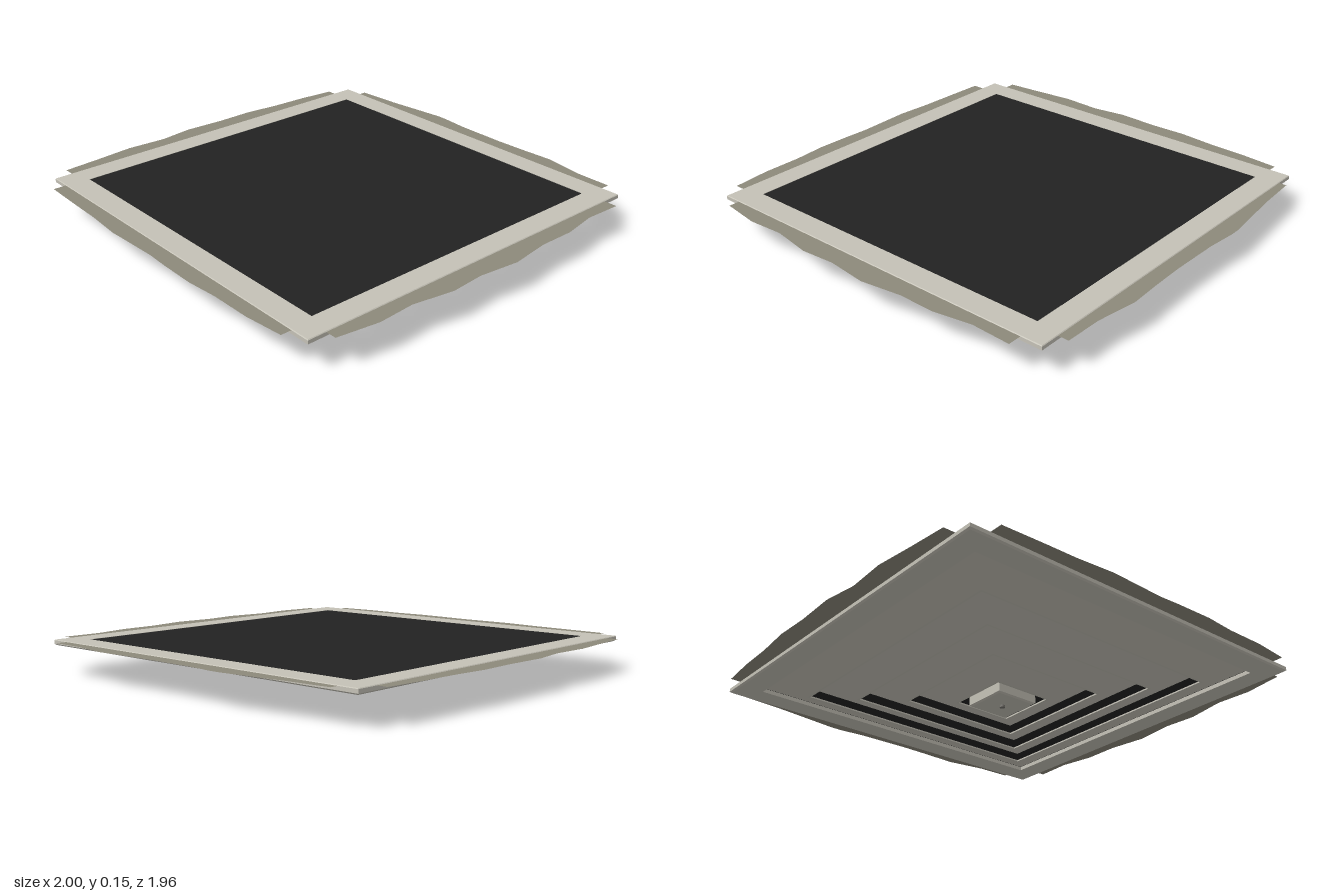
import * as THREE from 'three';

const paint = new THREE.MeshStandardMaterial({ name: 'offWhitePaint', color: 0xc4c1b6 });
const dark = new THREE.MeshStandardMaterial({ name: 'blackBacking', color: 0x222222 });
const dust = new THREE.MeshStandardMaterial({ name: 'dustStain', color: 0x8d897b, side: THREE.DoubleSide });
const steel = new THREE.MeshStandardMaterial({ name: 'screwSteel', color: 0x77756f });

// Square ring or block: a profile of [half width, height] swept round four flat sides
function squareSweep(name, profile, material) {
  const points = profile.map(([r, y]) => new THREE.Vector2(r * Math.SQRT2, y));
  const geometry = new THREE.LatheGeometry(points, 4, Math.PI / 4).toNonIndexed();
  geometry.computeVertexNormals();
  const mesh = new THREE.Mesh(geometry, material);
  mesh.name = name;
  return mesh;
}

// Flat stain with a ragged outer edge; points are [x, z]
function stain(name, edge, inner) {
  const shape = new THREE.Shape([...edge, ...inner].map(([x, z]) => new THREE.Vector2(x, -z)));
  const mesh = new THREE.Mesh(new THREE.ShapeGeometry(shape).rotateX(-Math.PI / 2), dust);
  mesh.position.y = 0.147;
  mesh.name = name;
  return mesh;
}

export function createModel() {
  const group = new THREE.Group();
  group.name = 'ceilingVent';
  const vent = new THREE.Group();
  vent.name = 'diffuser';
  vent.position.set(-0.007, 0, -0.002);
  group.add(vent);

  // Outer frame with softened edges
  vent.add(squareSweep('frame', [
    [0.785, 0.125], [0.889, 0.125], [0.897, 0.131], [0.897, 0.147], [0.894, 0.15],
    [0.785, 0.15], [0.785, 0.125],
  ], paint));

  // Backing panel closing the top
  const panel = new THREE.Mesh(new THREE.BoxGeometry(1.568, 0.006, 1.568), dark);
  panel.name = 'backingPanel';
  panel.position.y = 0.146;
  vent.add(panel);

  // Nested sloping louvers, stepping down to the middle
  [[0.625, 0.088], [0.462, 0.066], [0.3, 0.049], [0.14, 0.031]].forEach(([half, y], i) => {
    const rise = i === 0 ? 0.054 : 0.06;
    vent.add(squareSweep('louver' + (i + 1), [
      [half, y], [half + 0.01, y], [half + 0.155, y + rise], [half + 0.155, y + rise + 0.005],
      [half, y + 0.007], [half, y],
    ], paint));
  });

  // Centre block and its screw
  vent.add(squareSweep('centreBlock', [
    [0, 0.01], [0.097, 0.01], [0.105, 0.016], [0.105, 0.075], [0, 0.075],
  ], paint));
  const screw = new THREE.Mesh(new THREE.CylinderGeometry(0.012, 0.012, 0.012, 16), steel);
  screw.name = 'screw';
  screw.position.y = 0.006;
  vent.add(screw);

  // Dust stains spreading past each side of the frame
  group.add(
    stain('backStain', [[-0.81, -0.935], [-0.6, -0.95], [-0.3, -0.985], [-0.25, -0.985], [-0.11, -0.972],
      [0.13, -0.968], [0.28, -0.972], [0.44, -0.98], [0.63, -0.95], [0.8, -0.947]], [[0.8, -0.86], [-0.81, -0.86]]),
    stain('frontStain', [[-0.81, 0.955], [-0.6, 0.962], [-0.45, 0.965], [-0.27, 0.978], [0, 0.967],
      [0.1, 0.972], [0.28, 0.975], [0.43, 0.962], [0.62, 0.961], [0.8, 0.943]], [[0.8, 0.86], [-0.81, 0.86]]),
    stain('rightStain', [[-0.95, -0.8], [-0.968, -0.62], [-0.975, -0.45], [-0.993, -0.27], [-0.99, -0.1],
      [-1, 0.1], [-0.978, 0.26], [-0.99, 0.45], [-0.972, 0.63], [-0.957, 0.81]], [[-0.86, 0.81], [-0.86, -0.8]]),
    stain('leftStain', [[0.952, -0.8], [0.945, -0.62], [0.975, -0.45], [0.973, -0.28], [1, -0.09],
      [0.978, 0.1], [0.99, 0.26], [0.957, 0.45], [0.968, 0.62], [0.94, 0.81]], [[0.86, 0.81], [0.86, -0.8]]),
  );
  return group;
}
